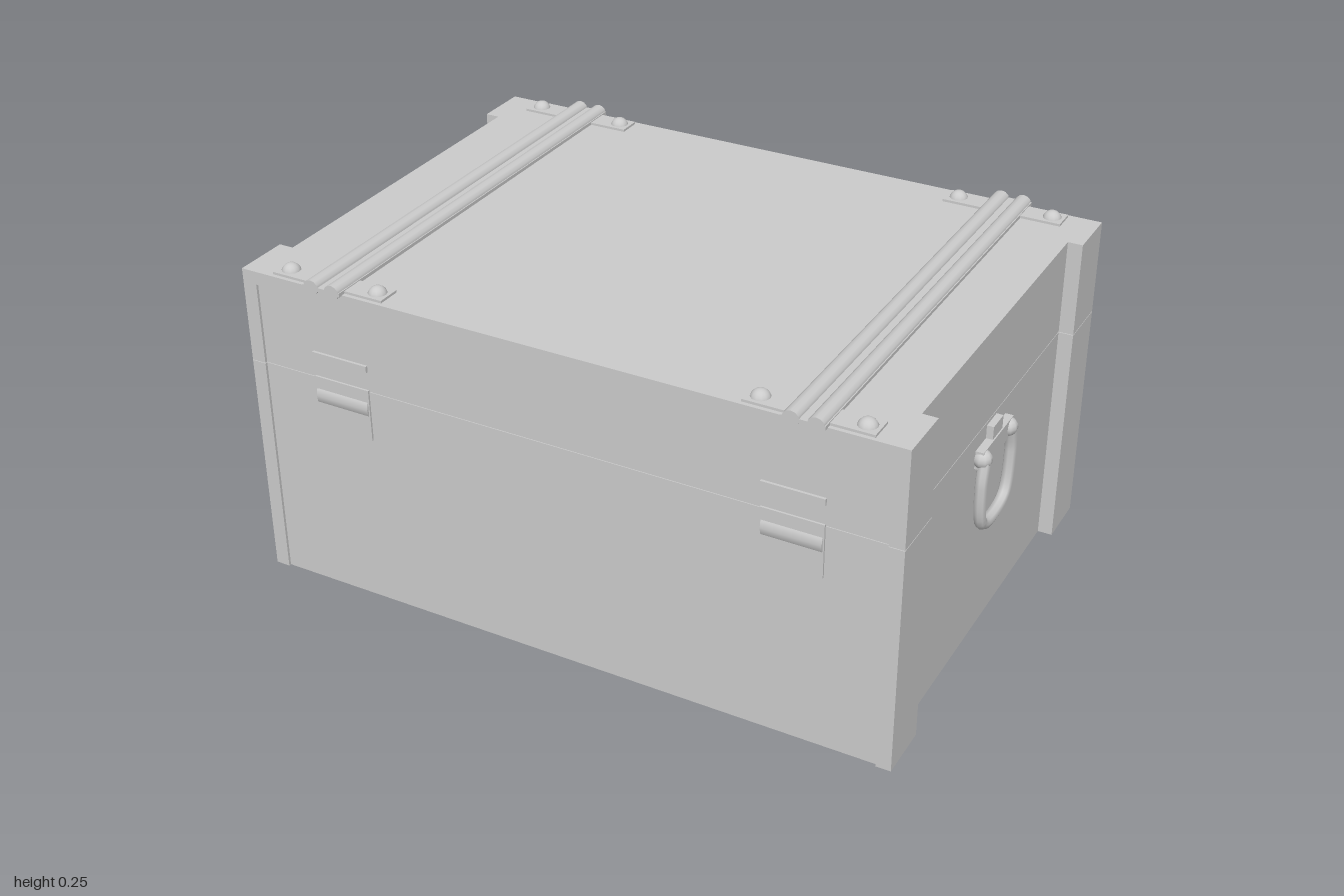
import * as THREE from 'three';
import { RoundedBoxGeometry } from 'three/addons/geometries/RoundedBoxGeometry.js';

const mat = new THREE.MeshStandardMaterial({ color: 0xcccccc });

function add(parent, name, geometry, x = 0, y = 0, z = 0) {
  const mesh = new THREE.Mesh(geometry, mat);
  mesh.name = name;
  mesh.position.set(x, y, z);
  parent.add(mesh);
  return mesh;
}
const box = (w, h, d) => new THREE.BoxGeometry(w, h, d);

// Chest sizes: half width, half depth, seam height, top height
const HW = 0.249, HD = 0.175, SEAM = 0.174, TOP = 0.246;

// Riveted strap: x across, y along its length, z outward
function makeStrap(name, length) {
  const strap = new THREE.Group();
  strap.name = name;
  add(strap, 'strapBand', box(0.03, length, 0.003), 0, 0, 0.001);
  for (const s of [-1, 1]) {
    const ridge = add(strap, 'strapRidge', new THREE.CylinderGeometry(0.006, 0.006, length, 12), s * 0.0085, 0, 0.0015);
    ridge.scale.z = 0.9;
    const y = s * (length / 2 - 0.015);
    add(strap, 'strapEndPlate', box(0.09, 0.018, 0.002), 0, y, 0.0008);
    for (const side of [-1, 1]) {
      const rivet = add(strap, 'rivet', new THREE.SphereGeometry(0.007, 12, 6, 0, Math.PI * 2, 0, Math.PI / 2), side * 0.036, y, 0);
      rivet.rotation.x = Math.PI / 2;
    }
  }
  return strap;
}

// Side handle: x across, y up, z outward
function makeHandle() {
  const handle = new THREE.Group();
  handle.name = 'sideHandle';
  add(handle, 'handleBracket', box(0.056, 0.014, 0.006), 0, 0.026, 0.003);
  add(handle, 'handleTab', box(0.018, 0.014, 0.005), 0, 0.036, 0.0025);
  const points = [[-0.024, 0.028], [-0.028, 0.006], [-0.022, -0.026], [0, -0.032], [0.022, -0.026], [0.028, 0.006], [0.024, 0.028]];
  const curve = new THREE.CatmullRomCurve3(points.map(([x, y]) => new THREE.Vector3(x, y, 0.006)));
  add(handle, 'handleBail', new THREE.TubeGeometry(curve, 36, 0.0045, 8));
  for (const s of [-1, 1]) add(handle, 'handlePivot', new THREE.SphereGeometry(0.007, 10, 8), s * 0.024, 0.026, 0.004);
  return handle;
}

// Hinge: x across, y up, z outward
function makeHinge() {
  const hinge = new THREE.Group();
  hinge.name = 'hinge';
  add(hinge, 'hingeLeaf', box(0.045, 0.04, 0.002), 0, 0.155, 0.0005);
  const knuckle = add(hinge, 'hingeKnuckle', new THREE.CylinderGeometry(0.012, 0.012, 0.043, 16), 0, 0.16, -0.009);
  knuckle.rotation.z = Math.PI / 2;
  add(hinge, 'hingeLip', box(0.045, 0.005, 0.004), 0, 0.192, 0);
  return hinge;
}

// Padlock hanging askew from its hasp: y up, z outward
function makePadlock() {
  const lock = new THREE.Group();
  lock.name = 'padlock';
  add(lock, 'lockBody', new RoundedBoxGeometry(0.062, 0.06, 0.014, 3, 0.005), 0, -0.002, 0.007);
  const shackle = add(lock, 'lockShackle', new THREE.TorusGeometry(0.016, 0.004, 8, 20, Math.PI), 0, 0.027, 0.006);
  shackle.scale.y = 0.7;
  const keyhole = add(lock, 'lockBoss', new THREE.CylinderGeometry(0.009, 0.009, 0.002, 16), 0, -0.002, 0.0145);
  keyhole.rotation.x = Math.PI / 2;
  return lock;
}

export function createModel() {
  const root = new THREE.Group();
  root.name = 'storageChest';
  const chest = new THREE.Group();
  chest.name = 'chest';
  chest.position.set(0.071, 0, -0.809);
  root.add(chest);

  // Base and lid, parted by a fine seam, with a rim plate on top
  const innerW = 2 * (HW - 0.011), innerD = 2 * (HD - 0.002), rim = 0.236;
  add(chest, 'base', box(innerW, SEAM - 0.0005, innerD), 0, (SEAM - 0.0005) / 2);
  add(chest, 'lid', box(innerW, rim - SEAM, innerD), 0, (rim + SEAM) / 2);
  add(chest, 'lidTop', box(innerW, TOP - rim, 2 * HD), 0, (TOP + rim) / 2);

  for (const side of [-1, 1]) {
    // Corner posts, split at the seam
    for (const end of [-1, 1]) {
      for (const [y0, y1, name] of [[0, SEAM - 0.0005, 'basePost'], [SEAM, TOP, 'lidPost']]) {
        add(chest, name, box(0.011, y1 - y0, 0.042), side * (HW - 0.0055), (y0 + y1) / 2, end * (HD - 0.021));
      }
    }

    // Straps over the lid and down the latch side
    const x = side * 0.1795;
    const topStrap = makeStrap('topStrap', 2 * HD + 0.006);
    topStrap.position.set(x, TOP, 0);
    topStrap.rotation.x = -Math.PI / 2;
    const baseStrap = makeStrap('baseStrap', 0.165);
    baseStrap.position.set(x, 0.087, -HD + 0.002);
    baseStrap.rotation.y = Math.PI;
    const lidStrap = makeStrap('lidStrap', 0.068);
    lidStrap.position.set(x, 0.211, -HD + 0.002);
    lidStrap.rotation.y = Math.PI;

    // Handles and hinges
    const handle = makeHandle();
    handle.position.set(side * (HW - 0.011), 0.128, 0);
    handle.rotation.y = side * Math.PI / 2;
    const hinge = makeHinge();
    hinge.position.set(side * 0.1725, 0, HD - 0.002);
    chest.add(topStrap, baseStrap, lidStrap, handle, hinge);
  }

  // Hasp and padlock
  add(chest, 'hasp', box(0.024, 0.045, 0.004), 0, 0.18, -HD);
  const latch = new THREE.Group();
  latch.name = 'latch';
  latch.position.set(0.021, 0.141, -HD + 0.001);
  latch.rotation.y = Math.PI;
  const lock = makePadlock();
  lock.rotation.z = -0.47;
  latch.add(lock);
  chest.add(latch);
  return root;
}
